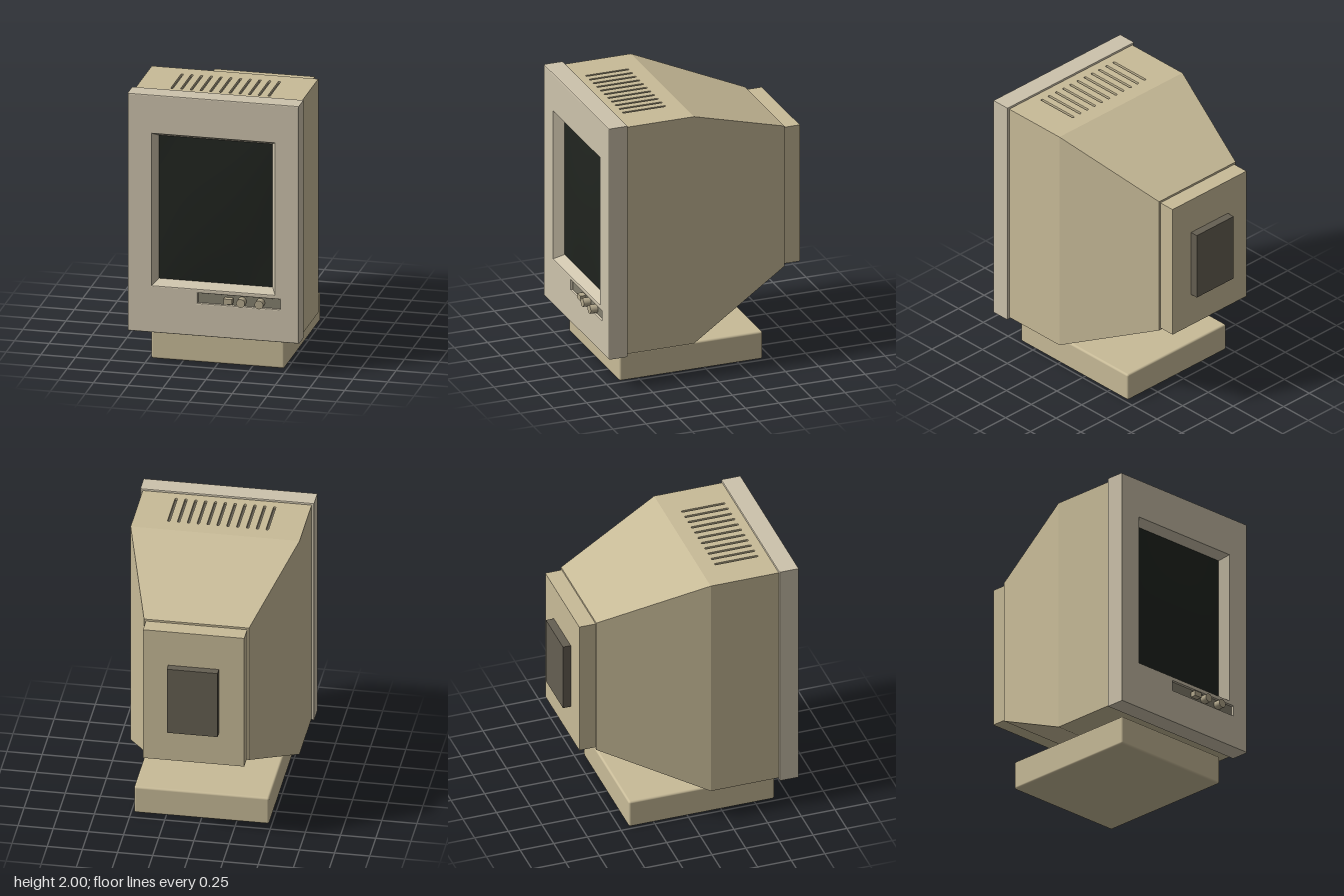
import * as THREE from 'three';
import { RoundedBoxGeometry } from 'three/addons/geometries/RoundedBoxGeometry.js';

const paint = (color, extra = {}) => new THREE.MeshStandardMaterial({ color, ...extra });

// Rectangle path by its edges, for outlines and holes
function rect(x0, x1, y0, y1, Type = THREE.Path) {
  const p = new Type();
  p.moveTo(x0, y0);
  p.lineTo(x1, y0);
  p.lineTo(x1, y1);
  p.lineTo(x0, y1);
  p.closePath();
  return p;
}

// Slot with round ends, long in y
function slot(x, y0, y1, r) {
  const p = new THREE.Path();
  p.moveTo(x + r, y0 + r);
  p.lineTo(x + r, y1 - r);
  p.absarc(x, y1 - r, r, 0, Math.PI, false);
  p.lineTo(x - r, y0 + r);
  p.absarc(x, y0 + r, r, Math.PI, Math.PI * 2, false);
  return p;
}

// Joins rectangular sections [half width, y0, y1, z]; front to back faces outward,
// back to front faces inward
function loft(sections) {
  const rings = sections.map(([w, y0, y1, z]) => [[-w, y0, z], [w, y0, z], [w, y1, z], [-w, y1, z]]);
  const pos = [];
  for (let s = 0; s < rings.length - 1; s++) {
    const a = rings[s], b = rings[s + 1];
    for (let i = 0; i < 4; i++) {
      const j = (i + 1) % 4;
      pos.push(...a[i], ...b[i], ...b[j], ...a[i], ...b[j], ...a[j]);
    }
  }
  const g = new THREE.BufferGeometry();
  g.setAttribute('position', new THREE.Float32BufferAttribute(pos, 3));
  g.computeVertexNormals();
  return g;
}

// Box by its edges
function box(x0, x1, y0, y1, z0, z1, r = 0) {
  const size = [x1 - x0, y1 - y0, z1 - z0];
  const g = r ? new RoundedBoxGeometry(...size, 3, r) : new THREE.BoxGeometry(...size);
  return g.translate((x0 + x1) / 2, (y0 + y1) / 2, (z0 + z1) / 2);
}

export function createModel() {
  const model = new THREE.Group();
  model.name = 'monitor';
  const bezelMat = paint(0xcdc3ac), shellMat = paint(0xc8bb98);
  const darkMat = paint(0x655f52), stripMat = paint(0x85806f), knobMat = paint(0xb5aa8e);

  const add = (name, geometry, material) => {
    const mesh = new THREE.Mesh(geometry, material);
    mesh.name = name;
    model.add(mesh);
    return mesh;
  };

  // Base
  add('base', box(-0.48, 0.48, 0, 0.21, -0.435, 0.645, 0.015), shellMat);

  // Front bezel with openings for the screen and the control strip
  const bevel = 0.008;
  const face = rect(-0.617, 0.617, 0.24, 2, THREE.Shape);
  face.holes.push(rect(-0.442, 0.442, 0.588, 1.712), rect(-0.112, 0.482, 0.483, 0.557));
  const bezel = new THREE.ExtrudeGeometry(face, {
    depth: 0.145 - 2 * bevel, bevelSize: bevel, bevelThickness: bevel, bevelOffset: -bevel, bevelSegments: 2,
  });
  add('bezel', bezel.translate(0, 0, 0.635 + bevel), bezelMat);

  // Sloping frame around the screen
  add('screenSurround', loft([[0.41, 0.62, 1.68, 0.705], [0.442, 0.588, 1.712, 0.772]]), bezelMat);

  // Bulging screen
  const glass = new THREE.PlaneGeometry(0.82, 1.06, 16, 16);
  const p = glass.attributes.position;
  for (let i = 0; i < p.count; i++) {
    const u = p.getX(i) / 0.41, v = p.getY(i) / 0.53;
    p.setZ(i, 0.025 * (1 - u * u) * (1 - v * v));
  }
  glass.computeVertexNormals();
  add('screen', glass.translate(0, 1.15, 0.705), paint(0x20241f));

  // Control strip, button and knobs
  add('controlStrip', box(-0.115, 0.485, 0.48, 0.56, 0.64, 0.762), stripMat);
  add('button', box(0.08, 0.14, 0.5, 0.538, 0.75, 0.805), knobMat);
  for (const x of [0.205, 0.337]) {
    const knob = new THREE.CylinderGeometry(0.031, 0.031, 0.067, 32).rotateX(Math.PI / 2);
    add('knob', knob.translate(x, 0.518, 0.783), knobMat);
  }

  // Straight front half of the shell
  add('shellFront', box(-0.6, 0.6, 0.255, 1.965, 0.13, 0.635), shellMat);

  // Vented top plate over a dark floor
  const plate = rect(-0.6, 0.6, -0.635, -0.13, THREE.Shape);
  for (let i = -5; i <= 5; i++) plate.holes.push(slot(i * 0.07, -0.57, -0.245, 0.009));
  const top = new THREE.ExtrudeGeometry(plate, { depth: 0.02, bevelEnabled: false, curveSegments: 6 });
  add('ventPlate', top.rotateX(-Math.PI / 2).translate(0, 1.965, 0), shellMat);
  add('ventFloor', box(-0.4, 0.4, 1.955, 1.968, 0.22, 0.6), darkMat);

  // Tapered rear of the shell, closed at the back
  add('shellRear', loft([
    [0.6, 0.255, 1.985, 0.13],
    [0.373, 0.63, 1.7, -0.64],
    [0, 1.165, 1.165, -0.64],
  ]), shellMat);

  // Rear housing and its dark panel
  add('rearHousing', box(-0.36, 0.36, 0.645, 1.685, -0.762, -0.6), shellMat);
  add('rearPanel', box(-0.18, 0.18, 0.9, 1.415, -0.82, -0.75), darkMat);

  return model;
}
